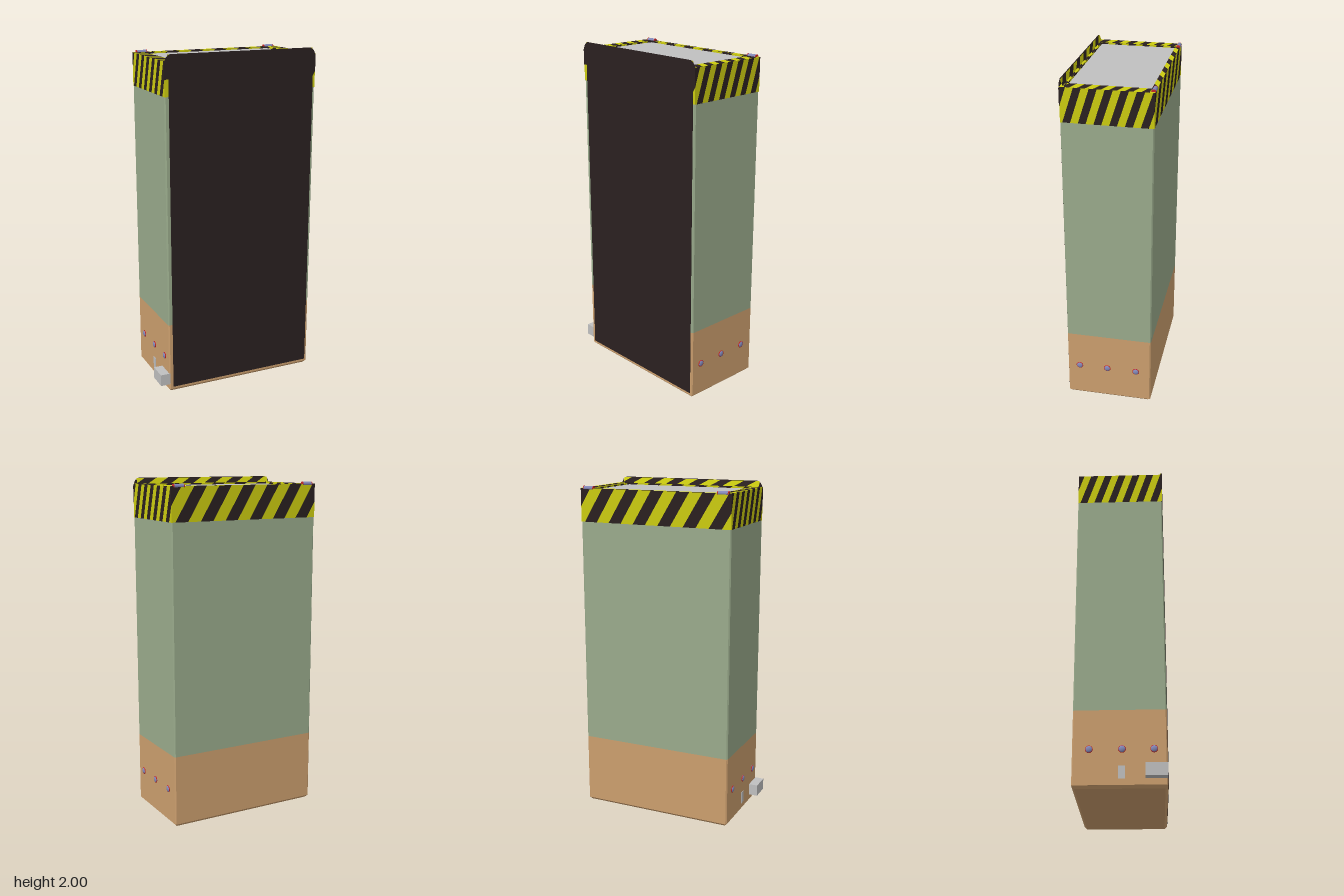
import * as THREE from 'three';

const mat = (name, color, side = THREE.FrontSide) => {
  const m = new THREE.MeshStandardMaterial({ color, side });
  m.name = name;
  return m;
};

const X0 = -0.45, X1 = 0.49, Z = 0.253, CX = (X0 + X1) / 2;
const BAND = 1.77, TOP = 1.965, LID = 1.955;

export function createModel() {
  const model = new THREE.Group();
  model.name = 'cabinet';
  const green = mat('sage green', 0x9aab8c);
  const tan = mat('tan', 0xcc9f6e);
  const grey = mat('light grey', 0xc0c0c0);
  const yellow = mat('hazard yellow', 0xcccc10, THREE.DoubleSide);
  const black = mat('warm black', 0x2a2020, THREE.DoubleSide);
  const lilac = mat('blue grey', 0x8488b8);
  const red = mat('red', 0xc82828);

  const add = (name, geometry, material, x = 0, y = 0, z = 0, parent = model) => {
    const mesh = new THREE.Mesh(geometry, material);
    mesh.name = name;
    mesh.position.set(x, y, z);
    parent.add(mesh);
    return mesh;
  };
  const box = (name, material, w, h, d, x, y, z) =>
    add(name, new THREE.BoxGeometry(w, h, d), material, x, y, z);

  // Keep the part of a polygon where sign * x >= sign * limit
  const clip = (points, limit, sign) => {
    const out = [];
    points.forEach((a, i) => {
      const b = points[(i + 1) % points.length];
      const da = sign * (a.x - limit), db = sign * (b.x - limit);
      if (da >= 0) out.push(a);
      if (da * db < 0) out.push(a.clone().lerp(b, da / (da - db)));
    });
    return out;
  };

  // Hazard-striped face: u runs along it, v across it
  const striped = (name, origin, u, v, length, height, lean) => {
    const group = new THREE.Group();
    group.name = name;
    const half = length / 12, sets = [[], []];
    for (let k = -4; k < 16; k++) {
      const a = (k - 0.7) * half, s = lean * half;
      let points = [[a, 0], [a + half, 0], [a + half + s, height], [a + s, height]]
        .map(([x, y]) => new THREE.Vector2(x, y));
      points = clip(clip(points, 0, 1), length, -1);
      if (points.length > 2) sets[Math.abs(k) % 2].push(new THREE.Shape(points));
    }
    const basis = new THREE.Matrix4()
      .makeBasis(u, v, u.clone().cross(v).normalize()).setPosition(origin);
    [yellow, black].forEach((m, i) =>
      add(m.name + ' stripes', new THREE.ShapeGeometry(sets[i]).applyMatrix4(basis), m, 0, 0, 0, group));
    model.add(group);
  };

  // Footprint with slightly chamfered vertical edges
  const footprint = (inset) => {
    const w = (X1 - X0) / 2 - inset, d = Z - inset, c = 0.007;
    return new THREE.Shape([[-w + c, -d], [w - c, -d], [w, -d + c], [w, d - c],
      [w - c, d], [-w + c, d], [-w, d - c], [-w, -d + c]].map(([x, y]) => new THREE.Vector2(x, y)));
  };
  const slab = (name, material, y0, y1) => {
    const g = new THREE.ExtrudeGeometry(footprint(0), { depth: y1 - y0, bevelEnabled: false });
    add(name, g.rotateX(-Math.PI / 2), material, CX, y0, 0);
  };
  slab('lowerBody', tan, 0.016, 0.43);
  slab('middleBody', green, 0.43, BAND);

  // Bevelled foot of the body
  const foot = new THREE.BoxGeometry(X1 - X0 - 0.004, 0.016, 2 * Z - 0.004);
  const p = foot.attributes.position;
  for (let i = 0; i < p.count; i++) {
    if (p.getY(i) < 0) {
      p.setX(i, p.getX(i) - Math.sign(p.getX(i)) * 0.014);
      p.setZ(i, p.getZ(i) - Math.sign(p.getZ(i)) * 0.014);
    }
  }
  foot.computeVertexNormals();
  add('footBevel', foot, tan, CX, 0.008, 0);

  // Striped band: outer wall, rim and inner wall on every side
  const V = (x, y, z) => new THREE.Vector3(x, y, z);
  const W = X1 - X0;
  const sides = [
    ['right', X1, Z, V(0, 0, -1), V(-1, 0, 0), 2 * Z, 0.068],
    ['left', X0, -Z, V(0, 0, 1), V(1, 0, 0), 2 * Z, 0.065],
    ['back', X1, -Z, V(-1, 0, 0), V(0, 0, 1), W, 0.028],
    ['front', X0, Z, V(1, 0, 0), V(0, 0, -1), W, 0.028],
  ];
  sides.forEach(([side, x, z, u, inward, length, rim]) => {
    striped(side + 'Band', V(x, BAND, z), u, V(0, 1, 0), length, TOP - BAND, 1.5);
    striped(side + 'Rim', V(x, TOP, z), u, inward, length, rim, 0.6);
    striped(side + 'InnerWall', V(x, TOP, z).addScaledVector(inward, rim),
      u, V(0, -1, 0), length, TOP - LID, 0.2);
  });
  box('lid', grey, 0.807, 0.05, 0.45, 0.0185, LID - 0.025, 0);

  // Front panel, wider at the top, with a sloping striped lip behind it
  const panel = new THREE.Shape([[-0.425, 0.03], [0.475, 0.03], [0.475, 1.86], [X1, 1.86],
    [X1, 1.955], [0.477, 1.985], [0.455, 2], [-0.415, 2], [-0.437, 1.985], [X0, 1.955],
    [X0, 1.865], [-0.425, 1.865]].map(([x, y]) => new THREE.Vector2(x, y)));
  add('frontPanel', new THREE.ExtrudeGeometry(panel, { depth: 0.004, bevelEnabled: false }),
    black, 0, 0, 0.2515);
  striped('frontLip', V(-0.43, 1.998, 0.2512), V(1, 0, 0),
    V(0, -0.033, -0.013).normalize(), 0.9, 0.036, 0.8);

  // Three round studs on each side, with a red ring
  for (const [x, s] of [[X1, 1], [X0, -1]]) {
    for (const z of [0.182, 0.012, -0.163]) {
      const stud = new THREE.SphereGeometry(0.02, 16, 10);
      stud.scale(s > 0 ? 0.5 : 0.55, 1, 1);
      add('sideStud', stud, lilac, x, 0.21, z);
      const ring = new THREE.TorusGeometry(0.018, 0.003, 6, 18).rotateY(Math.PI / 2);
      add('studRing', ring, red, x + s * 0.002, 0.21, z);
    }
  }

  // Hinge pins on the back rim, with red ends
  for (const x of [-0.398, 0.441]) {
    const pin = (name, m, r, l, dx) =>
      add(name, new THREE.CylinderGeometry(r, r, l, 14).rotateZ(Math.PI / 2), m, x + dx, TOP, -0.243);
    pin('hingePin', lilac, 0.012, 0.062, 0);
    for (const s of [-1, 1]) pin('hingeEnd', red, 0.0125, 0.004, s * 0.031);
  }

  // Side connector block and flush socket
  box('connectorBlock', grey, 0.06, 0.07, 0.118, -0.474, 0.085, 0.194);
  box('socketPlate', grey, 0.006, 0.07, 0.035, X0, 0.085, 0.01);
  return model;
}
